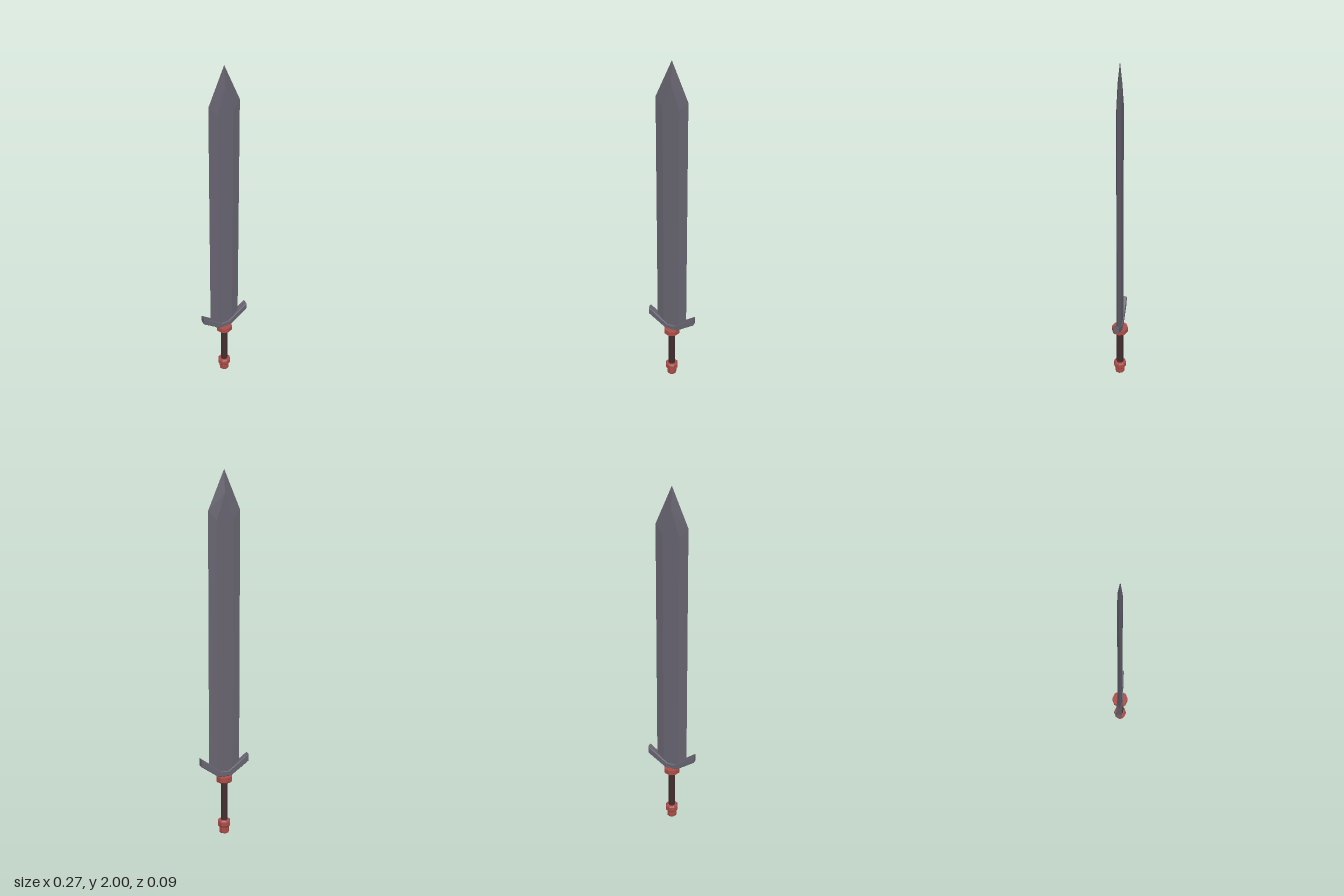
import * as THREE from 'three';
import { ConvexGeometry } from 'three/addons/geometries/ConvexGeometry.js';

function material(name, color) {
  const m = new THREE.MeshStandardMaterial({ color, flatShading: true });
  m.name = name;
  return m;
}

export function createModel() {
  const steel = material('dark steel', 0x66636f);
  const red = material('red metal', 0xab4d48);
  const leather = material('dark leather', 0x432d30);
  const sword = new THREE.Group();
  sword.name = 'sword';

  function add(name, geometry, mat) {
    const mesh = new THREE.Mesh(geometry, mat);
    mesh.name = name;
    sword.add(mesh);
  }

  // Eight-sided turned part from [radius, height] pairs, bottom to top
  function turned(name, profile, mat) {
    const points = profile.map(([r, y]) => new THREE.Vector2(r, y));
    add(name, new THREE.LatheGeometry(points, 8), mat);
  }

  // Blade: sharp outline in the middle plane, narrower flats front and back
  const edge = [[0.088, 0.39], [0.088, 1.79], [0, 2], [0.03, 0.345]];
  const flat = [[0.045, 0.36], [0.045, 1.74], [0, 1.88], [0.02, 0.345]];
  const bladePoints = [];
  for (const side of [-1, 1]) {
    for (const [x, y] of edge) bladePoints.push(new THREE.Vector3(side * x, y, 0));
    for (const [x, y] of flat) {
      for (const z of [-0.012, 0.012]) bladePoints.push(new THREE.Vector3(side * x, y, z));
    }
  }
  add('blade', new ConvexGeometry(bladePoints), steel);

  // Guard: swept-up V with lightly bevelled faces
  const half = [[0.035, 0.335], [0.137, 0.407], [0.137, 0.45], [0.055, 0.389], [0.022, 0.365]];
  const mirrored = half.map(([x, y]) => [-x, y]).reverse();
  const guardShape = new THREE.Shape([...half, ...mirrored].map(([x, y]) => new THREE.Vector2(x, y)));
  const guard = new THREE.ExtrudeGeometry(guardShape, {
    depth: 0.028, bevelEnabled: true, bevelThickness: 0.003,
    bevelSize: 0.003, bevelOffset: -0.003, bevelSegments: 1,
  });
  guard.translate(0, 0, -0.014);
  add('guard', guard, steel);

  // Handle
  turned('collar', [[0, 0.3], [0.038, 0.3], [0.046, 0.308], [0.046, 0.335], [0, 0.335]], red);
  turned('grip', [[0, 0.06], [0.02, 0.06], [0.02, 0.31], [0, 0.31]], leather);
  turned('pommelRing', [[0, 0.036], [0.03, 0.036], [0.036, 0.044], [0.036, 0.068], [0.03, 0.076], [0, 0.076]], red);
  turned('pommelCap', [[0, 0], [0.026, 0], [0.028, 0.006], [0.028, 0.04], [0, 0.04]], red);

  return sword;
}
